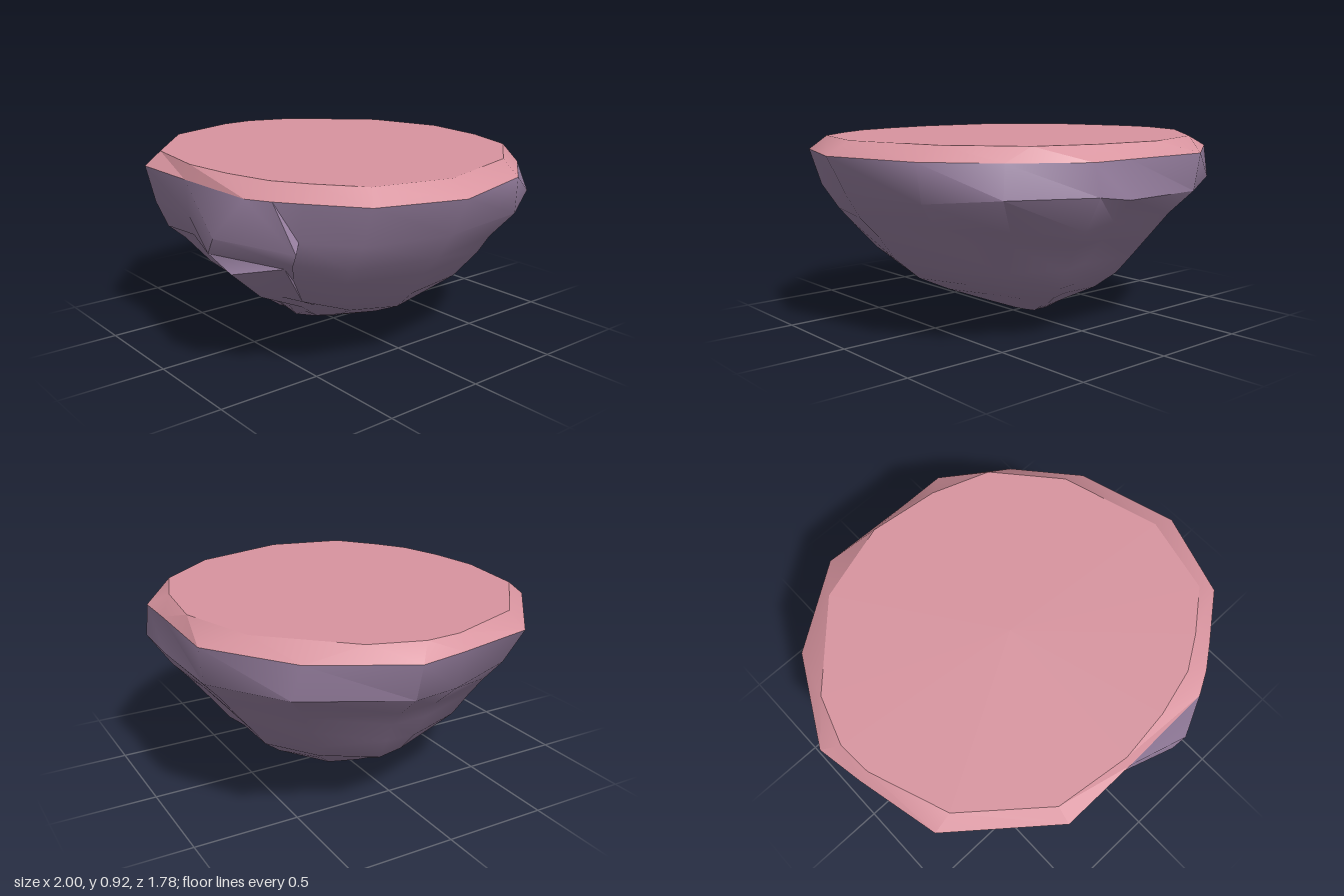
import * as THREE from 'three';
import { toCreasedNormals } from 'three/addons/utils/BufferGeometryUtils.js';

// Plan outlines as [x, z], running from +x round through the front
const RIM = [
  [1, 0.1], [0.87, 0.5], [0.65, 0.67], [0.54, 0.75], [0.43, 0.81], [-0.04, 0.82], [-0.42, 0.82], [-0.87, 0.45],
  [-0.96, 0.05], [-1, -0.18], [-0.77, -0.6], [-0.37, -0.88], [0.1, -0.87], [0.32, -0.87], [0.62, -0.66], [0.86, -0.38],
];
const PLATEAU = [
  [0.89, 0.08], [0.8, 0.45], [0.61, 0.6], [0.45, 0.7], [0.22, 0.76], [-0.04, 0.79], [-0.41, 0.74], [-0.77, 0.44],
  [-0.91, 0.06], [-0.92, -0.11], [-0.84, -0.35], [-0.5, -0.71], [-0.12, -0.83], [0.22, -0.79], [0.5, -0.69], [0.75, -0.4],
];
// Rock levels: y, then reach to -x, +x, +z, -z
const LEVELS = [
  [0.68, 0.96, 0.93, 0.82, 0.86],
  [0.56, 0.82, 0.83, 0.8, 0.77],
  [0.47, 0.74, 0.75, 0.75, 0.69],
  [0.35, 0.66, 0.66, 0.64, 0.58],
  [0.25, 0.57, 0.54, 0.46, 0.51],
  [0.17, 0.44, 0.38, 0.37, 0.42],
  [0.09, 0.3, 0.16, 0.2, 0.27],
  [0.04, 0.16, 0.06, 0.07, 0.18],
];
// Crags that break the even bowl: level, column, x, y, z
const CRAGS = [
  [0, 4, 0.3, 0.67, 0.89], [0, 3, 0.63, 0.64, 0.7], [0, 5, -0.05, 0.68, 0.8],
  [0, 13, 0.3, 0.71, -0.89], [0, 14, 0.66, 0.71, -0.7], [0, 10, -0.75, 0.7, -0.64],
  [1, 4, 0.24, 0.59, 0.88], [1, 3, 0.58, 0.58, 0.68], [1, 5, -0.14, 0.56, 0.73], [1, 6, -0.35, 0.56, 0.75],
  [2, 4, 0.34, 0.51, 0.83], [2, 3, 0.52, 0.55, 0.68], [2, 5, -0.15, 0.54, 0.65], [2, 6, -0.33, 0.49, 0.67],
  [3, 4, 0.31, 0.36, 0.66], [3, 5, -0.1, 0.35, 0.52], [3, 6, -0.25, 0.37, 0.58],
  [4, 4, 0.23, 0.26, 0.46], [4, 5, -0.04, 0.27, 0.44], [4, 6, -0.23, 0.27, 0.46],
  [5, 5, -0.02, 0.16, 0.33], [5, 6, -0.2, 0.18, 0.37],
  [6, 5, -0.04, 0.12, 0.24], [6, 6, -0.2, 0.06, 0.2],
];

// Seeded value in -0.5..0.5
function makeNoise(seed) {
  let s = seed;
  return () => {
    s = (s * 16807) % 2147483647;
    return s / 2147483647 - 0.5;
  };
}

// Skin over rows of points from top to bottom; a one-point row closes an end
function loft(rows, creaseAngle) {
  const pos = [];
  const tri = (a, b, c) => {
    if (a !== b && b !== c && c !== a) pos.push(...a, ...b, ...c);
  };
  const n = RIM.length;
  const at = (row, i) => (row.length === 1 ? row[0] : row[i % n]);
  for (let r = 0; r < rows.length - 1; r++) {
    for (let i = 0; i < n; i++) {
      const a = at(rows[r], i), b = at(rows[r], i + 1);
      const c = at(rows[r + 1], i), d = at(rows[r + 1], i + 1);
      tri(b, d, c);
      tri(b, c, a);
    }
  }
  const geo = new THREE.BufferGeometry();
  geo.setAttribute('position', new THREE.Float32BufferAttribute(pos, 3));
  return toCreasedNormals(geo, creaseAngle);
}

export function createModel() {
  const group = new THREE.Group();
  group.name = 'floatingIsland';
  const noise = makeNoise(977);

  const rim = RIM.map(([x, z]) => [x, 0.855, z]);
  const plateau = PLATEAU.map(([x, z]) => [x, 0.92, z]);

  // Rock rows: the rim outline scaled to each level, roughened a little,
  // fuller at the back left corner and tucked in at the front right one
  const rock = LEVELS.map(([y, right, left, front, back], level) =>
    RIM.map(([x, z]) => {
      const bulge = 1 + 0.16 * Math.sign(x) * Math.max(0, -x * z);
      const k = bulge + noise() * 0.04;
      const py = y + (level > 0 && level < 7 ? noise() * 0.025 : 0);
      return [x * (x < 0 ? right : left) * k, py, (z / (z > 0 ? 0.82 : 0.88)) * (z > 0 ? front : back) * k];
    }));
  for (const [level, col, x, y, z] of CRAGS) rock[level][col] = [x, y, z];

  // Flat ground cap with bevelled edge
  const ground = new THREE.Mesh(
    loft([[[0, 0.92, 0]], plateau, rim], 0.4),
    new THREE.MeshStandardMaterial({ color: 0xd8949f }),
  );
  ground.name = 'groundCap';

  // Craggy underside
  const underside = new THREE.Mesh(
    loft([rim, ...rock, [[-0.08, 0, -0.07]]], 0.75),
    new THREE.MeshStandardMaterial({ color: 0x9a82a3 }),
  );
  underside.name = 'rockUnderside';

  group.add(ground, underside);
  return group;
}
